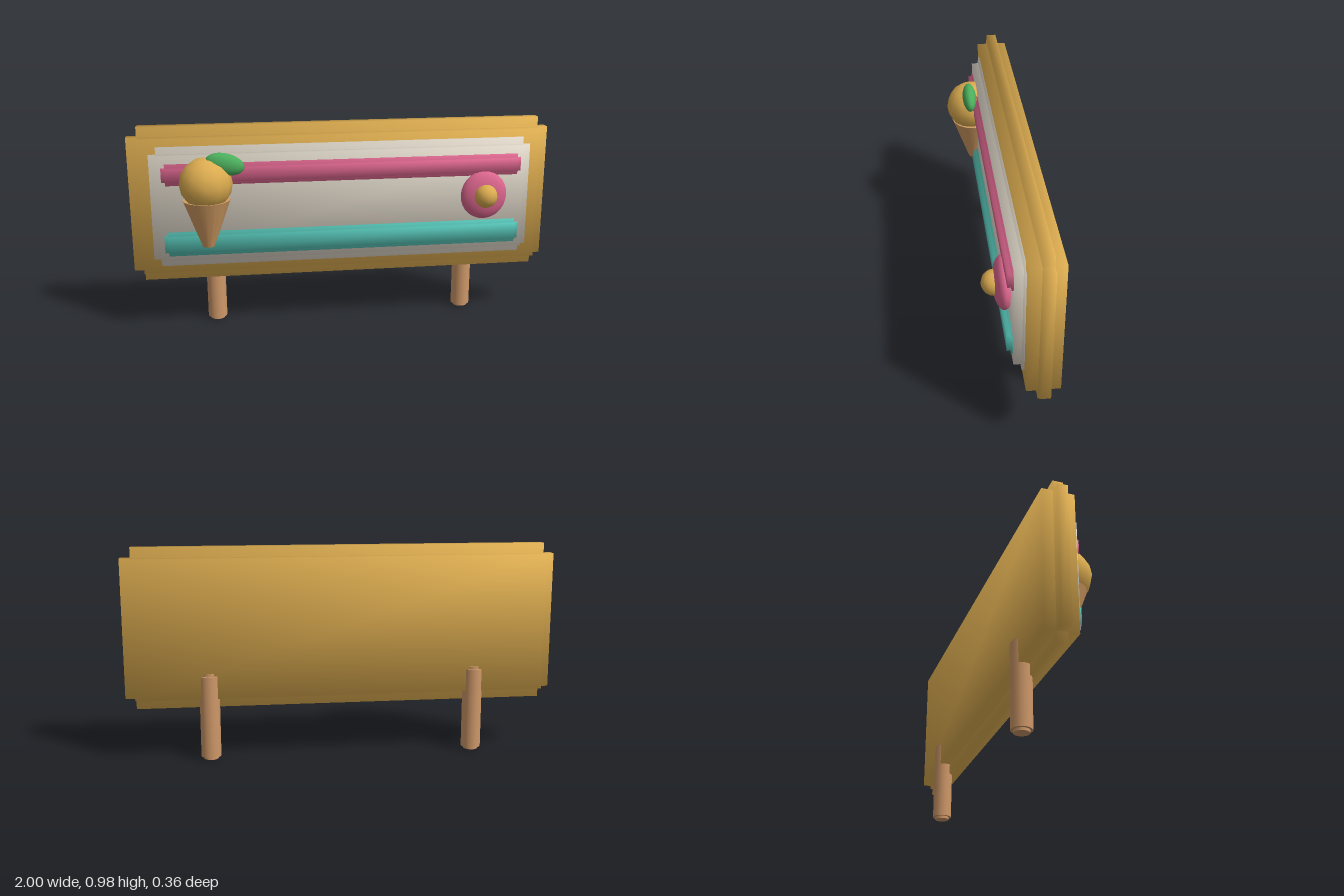
import * as THREE from 'three';

const mat = (name, color) => {
  const m = new THREE.MeshStandardMaterial({ color });
  m.name = name;
  return m;
};

export function createModel() {
  const gold = mat('gold', 0xdcac50);
  const cream = mat('cream', 0xdcd4c6);
  const pink = mat('pink', 0xdc668e);
  const teal = mat('teal', 0x54bfb2);
  const green = mat('green', 0x4cae5c);
  const wood = mat('wood', 0xce9869);
  const waffle = mat('waffle', 0xd29c62);

  const sign = new THREE.Group();
  sign.name = 'sign';

  const add = (parent, name, geometry, material, x, y, z) => {
    const mesh = new THREE.Mesh(geometry, material);
    mesh.name = name;
    mesh.position.set(x, y, z);
    parent.add(mesh);
    return mesh;
  };

  // Box whose corner normals point outwards, for soft shading
  const softBox = (w, h, d) => {
    const g = new THREE.BoxGeometry(w, h, d);
    const p = g.attributes.position;
    for (let i = 0; i < p.count; i++) {
      const n = new THREE.Vector3(Math.sign(p.getX(i)), Math.sign(p.getY(i)), Math.sign(p.getZ(i))).normalize();
      g.attributes.normal.setXYZ(i, n.x, n.y, n.z);
    }
    return g;
  };

  // Plate with edges stepped in by s on every side
  const steppedPlate = (name, material, w, h, d, s, y, front) => {
    const plate = new THREE.Group();
    plate.name = name;
    plate.position.set(0, y, front - d / 2);
    add(plate, name + 'Face', softBox(w - 2 * s, h - 2 * s, d), material, 0, 0, 0);
    add(plate, name + 'Sides', softBox(w, h - 2 * s, d - 2 * s), material, 0, 0, 0);
    add(plate, name + 'TopAndBottom', softBox(w - 2 * s, h, d - 2 * s), material, 0, 0, 0);
    sign.add(plate);
  };

  // Board, inset panel and the two raised stripes
  steppedPlate('board', gold, 2, 0.74, 0.144, 0.049, 0.609, -0.011);
  steppedPlate('panel', cream, 1.8, 0.57, 0.1, 0.034, 0.609, 0.03);
  steppedPlate('upperStripe', pink, 1.69, 0.1, 0.06, 0.017, 0.772, 0.053);
  steppedPlate('lowerStripe', teal, 1.69, 0.115, 0.06, 0.017, 0.442, 0.053);

  // Ice cream: cone, scoop and leaf
  const iceCream = new THREE.Group();
  iceCream.name = 'iceCream';
  sign.add(iceCream);
  add(iceCream, 'cone', new THREE.CylinderGeometry(0.11, 0.028, 0.225, 16), waffle, -0.644, 0.544, 0.045);
  add(iceCream, 'scoop', new THREE.SphereGeometry(0.122, 12, 8), gold, -0.644, 0.733, 0.058);
  const leaf = add(iceCream, 'leaf', new THREE.SphereGeometry(1, 16, 12), green, -0.555, 0.825, 0.072);
  leaf.scale.set(0.09, 0.05, 0.034);
  leaf.rotation.z = -0.25;

  // Round sweet with a ball in the middle
  const sweet = new THREE.Group();
  sweet.name = 'sweet';
  sign.add(sweet);
  add(sweet, 'sweetDisc', new THREE.SphereGeometry(1, 20, 14), pink, 0.664, 0.63, 0.05).scale.set(0.112, 0.116, 0.045);
  add(sweet, 'sweetCentre', new THREE.SphereGeometry(0.056, 12, 10), gold, 0.664, 0.633, 0.086);

  // Two posts with narrower stepped ends
  for (const [name, x] of [['leftPost', 0.618], ['rightPost', -0.618]]) {
    const post = new THREE.Group();
    post.name = name;
    post.position.set(x, 0, -0.13);
    add(post, name + 'Shaft', new THREE.CylinderGeometry(0.046, 0.046, 0.381, 16), wood, 0, 0.2025, 0);
    add(post, name + 'Ends', new THREE.CylinderGeometry(0.034, 0.034, 0.405, 16), wood, 0, 0.2025, 0);
    sign.add(post);
  }

  return sign;
}
